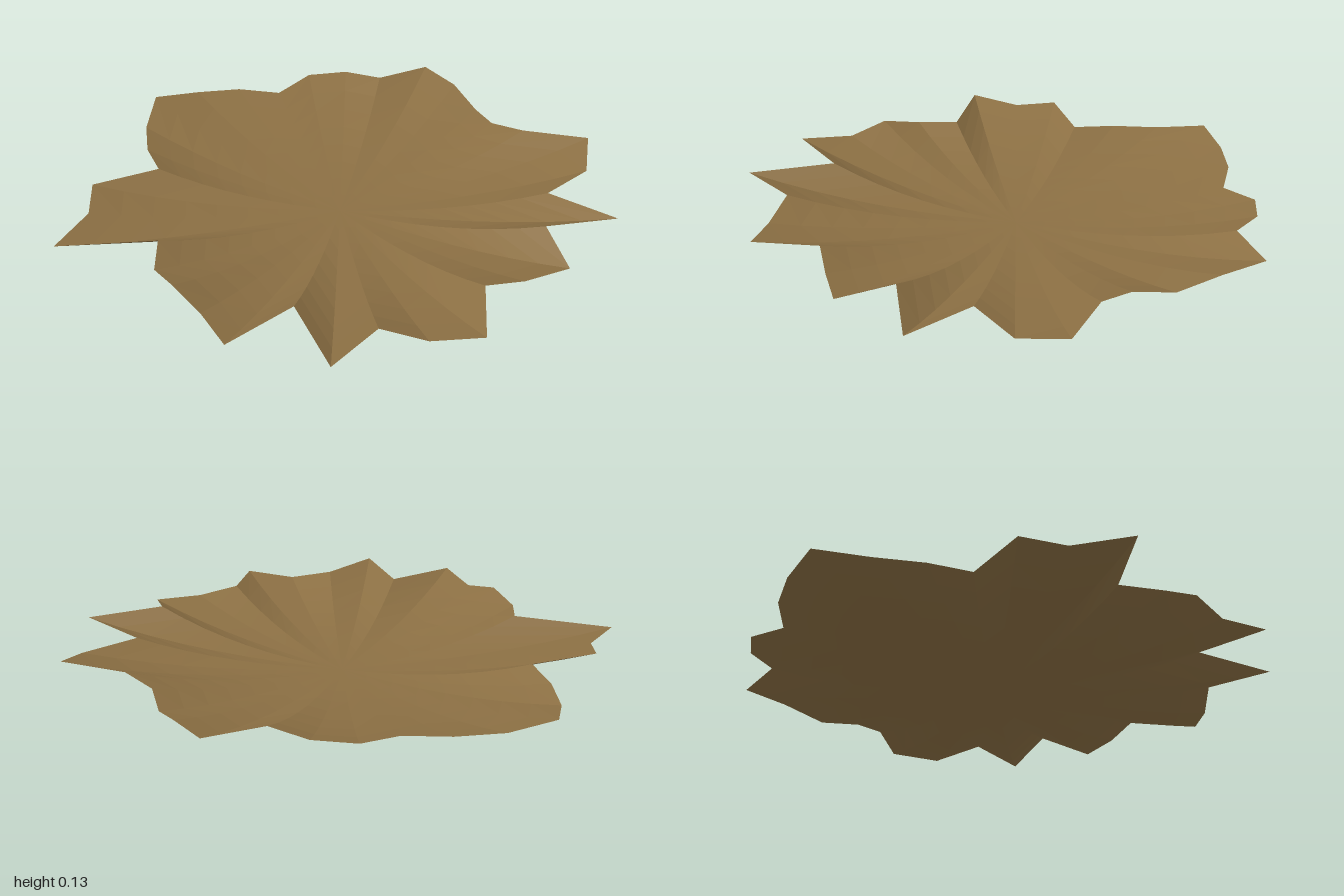
import * as THREE from 'three';

// Rim of the leaf, one entry per 10 degrees, clockwise from the back (-z)
const RADII = [
  0.83, 0.985, 0.905, 0.834, 0.773, 0.817, 1.017, 0.946, 0.77,
  1.02, 0.783, 0.927, 0.84, 0.784, 0.99, 0.91, 0.85, 1.036,
  0.75, 0.995, 0.873, 0.842, 0.809, 0.724, 1.06, 0.922, 0.919,
  0.70, 0.802, 0.905, 1.003, 0.945, 0.88, 0.80, 0.886, 0.885,
];
const HEIGHTS = [
  0.12, 0.115, 0.11, 0.075, 0.095, 0.115, 0.12, 0.085, 0.09,
  0.10, 0.125, 0.085, 0.085, 0.11, 0.095, 0.075, 0.11, 0.115,
  0.12, 0.115, 0.10, 0.13, 0.10, 0.11, 0.08, 0.085, 0.105,
  0.10, 0.09, 0.085, 0.115, 0.095, 0.09, 0.08, 0.10, 0.11,
];
const RINGS = 8;
const CENTER = { x: -0.05, z: -0.03 };

// Shallow dish: every spoke curves up from the centre to its own rim point
function dishGeometry() {
  const n = RADII.length;
  const positions = [CENTER.x, 0, CENTER.z];
  const index = [];
  for (let ring = 1; ring <= RINGS; ring++) {
    const t = ring / RINGS;
    for (let i = 0; i < n; i++) {
      const a = (i / n) * Math.PI * 2;
      const r = RADII[i] * t;
      positions.push(
        CENTER.x + Math.sin(a) * r,
        HEIGHTS[i] * Math.pow(t, 2.35),
        CENTER.z - Math.cos(a) * r,
      );
    }
  }
  const at = (ring, i) => 1 + (ring - 1) * n + (i % n);
  for (let i = 0; i < n; i++) {
    index.push(0, at(1, i + 1), at(1, i));
    for (let ring = 1; ring < RINGS; ring++) {
      const a = at(ring, i), b = at(ring, i + 1);
      const c = at(ring + 1, i + 1), d = at(ring + 1, i);
      index.push(a, b, c, a, c, d);
    }
  }
  const geometry = new THREE.BufferGeometry();
  geometry.setAttribute('position', new THREE.Float32BufferAttribute(positions, 3));
  geometry.setIndex(index);
  geometry.computeVertexNormals();
  return geometry;
}

export function createModel() {
  const group = new THREE.Group();
  group.name = 'driedLeaf';

  const leafBrown = new THREE.MeshStandardMaterial({
    color: 0x8b6f43,
    flatShading: true,
    side: THREE.DoubleSide,
  });
  leafBrown.name = 'leafBrown';

  // Single thin jagged sheet
  const blade = new THREE.Mesh(dishGeometry(), leafBrown);
  blade.name = 'leafBlade';
  group.add(blade);
  return group;
}
